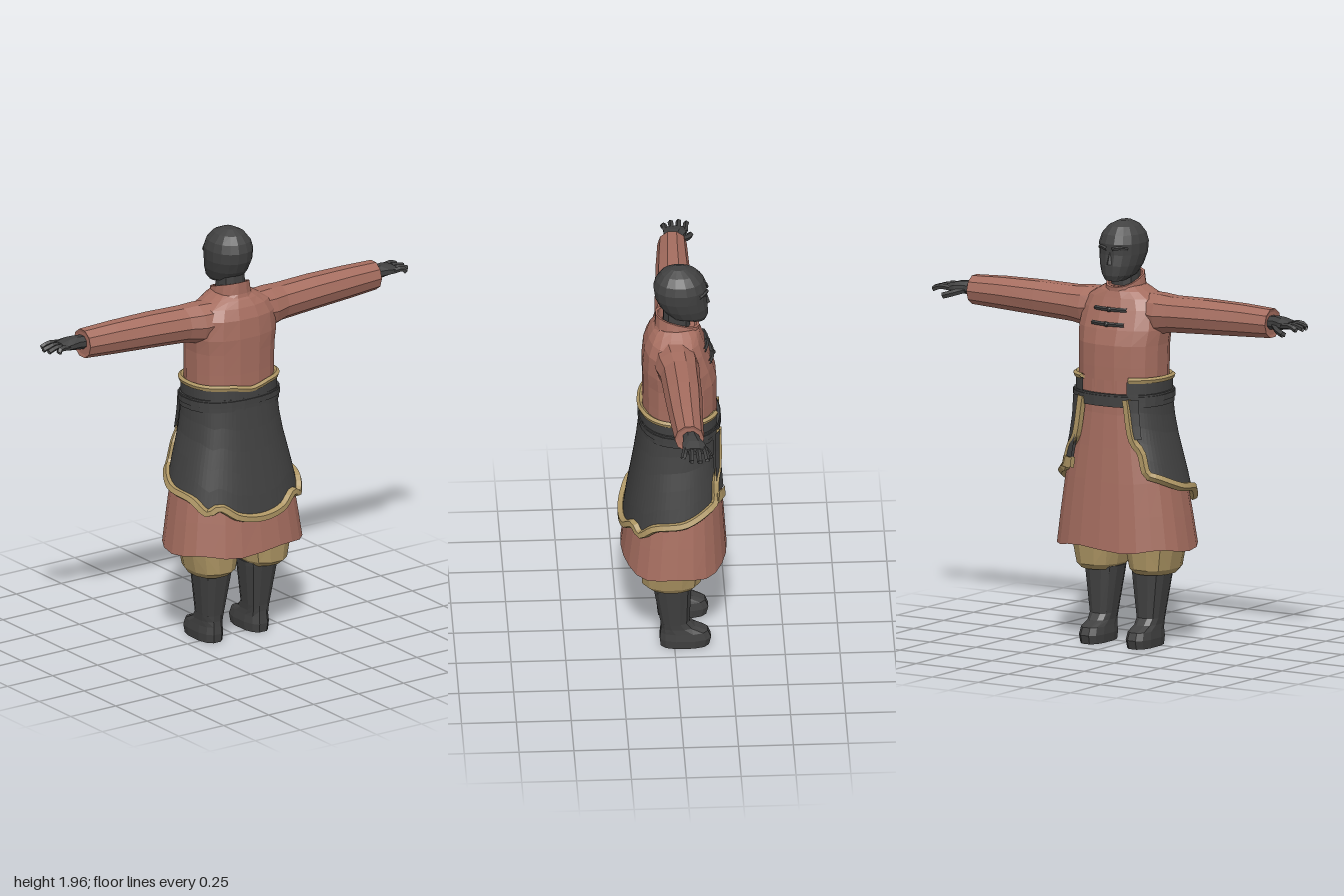
import * as THREE from 'three';

const mat = (name, color) => new THREE.MeshStandardMaterial({ name, color, side: THREE.DoubleSide });
const V = (x, y, z) => new THREE.Vector3(x, y, z);
const D = Math.PI / 180;
const pw = (v, p) => Math.sign(v) * Math.abs(v) ** p;

// Linear lookup in rows sorted by their first number
function lookup(rows, t) {
  if (t <= rows[0][0]) return rows[0].slice(1);
  for (let i = 1; i < rows.length; i++) {
    const a = rows[i - 1], b = rows[i];
    if (t <= b[0]) return a.slice(1).map((v, k) => v + (b[k + 1] - v) * (t - a[0]) / (b[0] - a[0]));
  }
  return rows[rows.length - 1].slice(1);
}

// Faceted skin over a list of point rows
function skin(rows, closed, caps) {
  const n = rows[0].length, pos = [], idx = [];
  rows.forEach(r => r.forEach(p => pos.push(p.x, p.y, p.z)));
  for (let i = 0; i < rows.length - 1; i++) {
    for (let j = 0; j < (closed ? n : n - 1); j++) {
      const k = (j + 1) % n, a = i * n + j, b = i * n + k, c = a + n, d = b + n;
      idx.push(a, b, d, a, d, c);
    }
  }
  if (caps) [0, rows.length - 1].forEach((i, top) => {
    const m = V(0, 0, 0);
    rows[i].forEach(p => m.addScaledVector(p, 1 / n));
    const c = pos.length / 3;
    pos.push(m.x, m.y, m.z);
    for (let j = 0; j < n; j++) {
      const a = i * n + j, b = i * n + (j + 1) % n;
      if (top) idx.push(c, a, b); else idx.push(c, b, a);
    }
  });
  const g = new THREE.BufferGeometry();
  g.setAttribute('position', new THREE.Float32BufferAttribute(pos, 3));
  g.setIndex(idx);
  return flat(g);
}

function flat(g) {
  const f = g.index ? g.toNonIndexed() : g;
  f.deleteAttribute('uv');
  f.computeVertexNormals();
  return f;
}

// Mirrored copy in x, keeping faces outward
function mirror(g) {
  const m = g.clone(), from = g.attributes.position, to = m.attributes.position;
  for (let i = 0; i < to.count; i += 3) {
    [0, 2, 1].forEach((k, j) => to.setXYZ(i + j, -from.getX(i + k), from.getY(i + k), from.getZ(i + k)));
  }
  m.computeVertexNormals();
  return m;
}

// Upright loft; rows are [y, half width, back z, front z, tilt]
function upright(rows, { n = 16, cx = 0, pow = 0.85, caps = true } = {}) {
  return skin(rows.map(([y, rx, zb, zf, tilt = 0]) => Array.from({ length: n }, (_, j) => {
    const t = (j + 0.5) / n * 2 * Math.PI;
    const z = (zb + zf) / 2 + (zb - zf) / 2 * pw(Math.cos(t), pow);
    return V(cx + rx * pw(Math.sin(t), pow), y + tilt * (z - zb), z);
  })), true, caps);
}

// Sideways loft; rows are [x, centre y, half height, centre z, half depth]
const sideways = (rows, n) => skin(rows.map(([x, cy, ry, cz, rz]) => Array.from({ length: n }, (_, j) => {
  const t = (j + 0.5) / n * 2 * Math.PI;
  return V(x, cy + ry * Math.cos(t), cz + rz * Math.sin(t));
})), true, true);

const tube = (pts, r, segs, sides = 5) =>
  flat(new THREE.TubeGeometry(new THREE.CatmullRomCurve3(pts, false, 'centripetal'), segs, r, sides, false));

// Coat skirt profile: y, half width, back z, front z
const SKIRT = [[0.46, 0.335, 0.24, -0.245], [0.75, 0.292, 0.2, -0.225], [0.9, 0.255, 0.175, -0.215],
  [1.0, 0.228, 0.16, -0.205], [1.12, 0.21, 0.145, -0.2], [1.25, 0.212, 0.14, -0.2]];
// Point on the skirt, with the angle measured from +z
function onSkirt(deg, y, off) {
  const [rx, zb, zf] = lookup(SKIRT, y), t = deg * D;
  return V((rx + off) * pw(Math.sin(t), 0.85), y, (zb + zf) / 2 + ((zb - zf) / 2 + off) * pw(Math.cos(t), 0.85));
}
// Apron lower edge: angle, y
const HEM = [[0, 0.63], [18, 0.65], [36, 0.7], [48, 0.675], [66, 0.73], [95, 0.755], [122, 0.8],
  [134, 0.82], [138, 0.92], [146, 0.97], [152, 1.16]];
const hem = deg => lookup(HEM, Math.abs(deg))[0];

// Cloth panel lying over the skirt
function panel(a0, a1, n, top, bottom, off, m = 6) {
  return skin(Array.from({ length: m + 1 }, (_, i) => Array.from({ length: n + 1 }, (_, j) => {
    const a = a0 + (a1 - a0) * j / n, b = bottom(a);
    return onSkirt(a, b + (top(a) - b) * i / m, off);
  })), false, false);
}

export function createModel() {
  const red = mat('russetCloth', 0xa66e60), dark = mat('charcoal', 0x414141), gold = mat('ochreCloth', 0xae9664);
  const model = new THREE.Group();
  model.name = 'robedFigure';
  const add = (name, g, m) => {
    const mesh = new THREE.Mesh(g, m);
    mesh.name = name;
    model.add(mesh);
  };
  const pair = (name, g, m) => { add(name + 'Left', g, m); add(name + 'Right', mirror(g), m); };

  // Head, facing -z
  add('head', upright([[1.69, 0.045, -0.06, -0.15], [1.715, 0.074, 0.025, -0.16], [1.76, 0.092, 0.06, -0.16],
    [1.81, 0.103, 0.083, -0.153], [1.86, 0.105, 0.09, -0.155], [1.9, 0.094, 0.078, -0.14],
    [1.935, 0.066, 0.052, -0.108], [1.956, 0.025, 0.01, -0.06]], { pow: 0.92 }), dark);
  add('neck', upright([[1.6, 0.065, 0.05, -0.08], [1.75, 0.062, 0.045, -0.08]], { n: 10 }), dark);
  const nose = new THREE.ConeGeometry(0.018, 0.055, 4);
  nose.translate(0, 1.795, -0.152);
  add('nose', flat(nose), dark);
  pair('brow', tube([V(0.015, 1.838, -0.155), V(0.045, 1.845, -0.146), V(0.075, 1.838, -0.118)], 0.009, 4), dark);

  // Coat body and collar
  add('torso', upright([[1.18, 0.208, 0.14, -0.2], [1.3, 0.21, 0.14, -0.2], [1.4, 0.212, 0.142, -0.198],
    [1.47, 0.22, 0.143, -0.18], [1.56, 0.21, 0.135, -0.148], [1.61, 0.18, 0.115, -0.13],
    [1.64, 0.125, 0.095, -0.12], [1.66, 0.09, 0.075, -0.1]]), red);
  add('collar', upright([[1.63, 0.12, 0.092, -0.125, 0.1], [1.665, 0.086, 0.083, -0.12, 0.2],
    [1.722, 0.076, 0.082, -0.122, 0.32], [1.718, 0.066, 0.07, -0.11, 0.32], [1.65, 0.066, 0.07, -0.11, 0.2]],
  { n: 14, caps: false }), red);
  add('coatSkirt', panel(0, 360, 24, () => 1.24, a => 0.462 + 0.01 * Math.sin(a * D * 5), 0, 5), red);

  // Sleeves
  pair('sleeve', sideways([[0.1, 1.55, 0.085, 0, 0.1], [0.2, 1.54, 0.096, -0.012, 0.1], [0.27, 1.545, 0.086, -0.02, 0.09],
    [0.45, 1.552, 0.083, -0.026, 0.086], [0.65, 1.556, 0.077, -0.03, 0.076], [0.81, 1.557, 0.069, -0.036, 0.067],
    [0.806, 1.557, 0.055, -0.036, 0.055]], 10), red);

  // Hands
  pair('palm', sideways([[0.78, 1.56, 0.034, -0.04, 0.036], [0.84, 1.565, 0.032, -0.045, 0.042],
    [0.88, 1.565, 0.028, -0.052, 0.056], [0.925, 1.562, 0.018, -0.055, 0.056]], 8), dark);
  [[-0.1, -0.11, 0.985], [-0.07, -0.075, 1], [-0.04, -0.038, 0.995], [-0.012, 0, 0.965]].forEach(([z0, z1, x], i) =>
    pair('finger' + (i + 1), tube([V(0.9, 1.562, z0), V(0.95, 1.566, (z0 + z1) / 2), V(x, 1.552, z1)], 0.013, 4), dark));
  pair('thumb', tube([V(0.84, 1.555, -0.07), V(0.885, 1.54, -0.11), V(0.925, 1.528, -0.125)], 0.015, 4), dark);

  // Chest fastenings
  [[1.56, -0.152], [1.495, -0.176]].forEach(([y, z], i) => {
    add('fastening' + (i + 1), tube([V(-0.085, y, z + 0.012), V(-0.04, y, z), V(0.04, y, z), V(0.085, y, z + 0.012)], 0.01, 8), dark);
    const knot = new THREE.IcosahedronGeometry(0.014, 0);
    knot.translate(0, y, z - 0.006);
    add('knot' + (i + 1), flat(knot), dark);
  });

  // Open-fronted apron with its trims
  add('apron', panel(-152, 152, 64, () => 1.24, hem, 0.012), dark);
  const edge = [...HEM.slice(1).reverse().map(([a, y]) => [-a, y]), ...HEM];
  add('hemTrim', tube(edge.map(([a, y]) => onSkirt(a, y, 0.018)), 0.021, 80), gold);
  const waist = [];
  for (let a = -150; a <= 150; a += 10) waist.push(onSkirt(a, 1.245 - 0.018 * Math.exp(-((a / 14) ** 2)), 0.01));
  add('waistTrim', tube(waist, 0.014, 60), gold);

  // Sash and its hanging ends
  add('sash', upright([[1.132, 0.235, 0.157, -0.215, 0.03], [1.19, 0.234, 0.155, -0.214, 0.03]], { n: 24 }), dark);
  add('sashFold', upright([[1.155, 0.239, 0.161, -0.219, 0.03], [1.182, 0.239, 0.161, -0.219, 0.03]], { n: 24 }), dark);
  for (const off of [0.02, 0.032]) {
    add('sashEndLeft', panel(136, 150, 2, () => 1.16, () => 0.87, off, 3), dark);
    add('sashEndRight', panel(-150, -136, 2, () => 1.16, () => 0.98, off, 3), dark);
  }
  for (const off of [0.018, 0.036]) add('sashTip', panel(134, 152, 2, () => 0.87, () => 0.82, off, 1), gold);

  // Trousers and boots
  pair('trouserLeg', upright([[0.335, 0.088, 0.12, -0.095], [0.36, 0.105, 0.152, -0.122], [0.46, 0.127, 0.16, -0.135],
    [0.62, 0.125, 0.15, -0.13]], { n: 12, cx: 0.143 }), gold);
  pair('boot', upright([[0, 0.056, 0.065, -0.16], [0.04, 0.06, 0.07, -0.17], [0.075, 0.056, 0.066, -0.155],
    [0.1, 0.054, 0.063, -0.095], [0.13, 0.057, 0.065, -0.07], [0.33, 0.085, 0.1, -0.08], [0.35, 0.088, 0.1, -0.08]],
  { n: 12, cx: 0.127, pow: 0.75 }), dark);

  return model;
}
